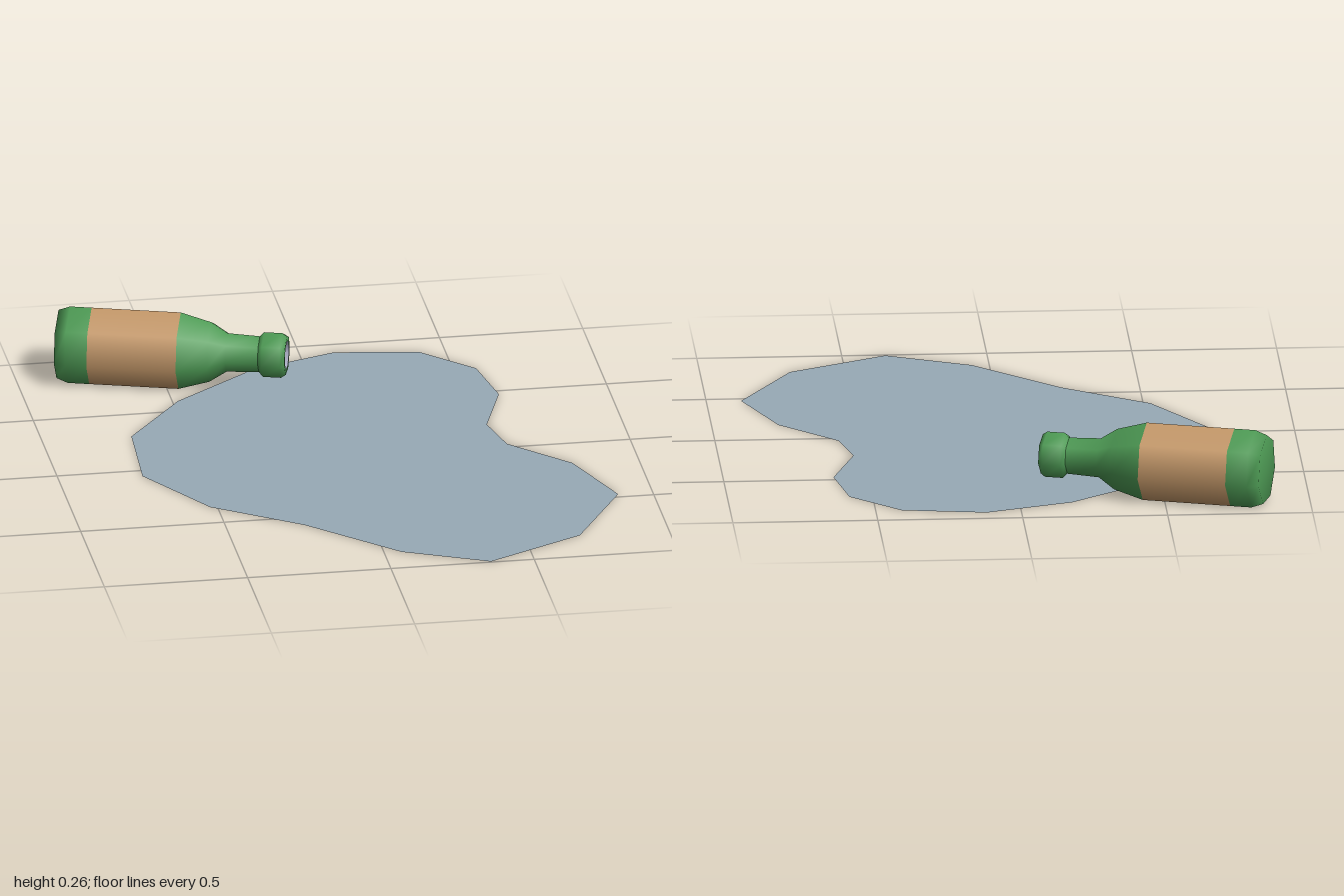
import * as THREE from 'three';

const material = (name, color, side = THREE.FrontSide) => {
  const m = new THREE.MeshStandardMaterial({ color, side });
  m.name = name;
  return m;
};

export function createModel() {
  const green = material('green glass', 0x4f9d56);
  const tan = material('tan paper', 0xc89b6b);
  const grey = material('pale inside', 0xa9abc2);
  const water = material('puddle grey blue', 0x98aab6, THREE.DoubleSide);

  const model = new THREE.Group();
  model.name = 'bottleAndPuddle';

  // Flat puddle, outline as x, z
  const outline = [
    [0.12, -0.93], [0.41, -0.885], [0.58, -0.71], [0.62, -0.47], [0.535, -0.21], [0.575, -0.03],
    [0.77, 0.175], [0.88, 0.475], [0.69, 0.815], [0.35, 0.995], [0.06, 0.86], [-0.23, 0.57],
    [-0.525, 0.36], [-0.71, 0.05], [-0.69, -0.305], [-0.48, -0.59], [-0.18, -0.825],
  ];
  const shape = new THREE.Shape(outline.map(([x, z]) => new THREE.Vector2(x, -z)));
  const puddle = new THREE.Mesh(new THREE.ShapeGeometry(shape).rotateX(-Math.PI / 2), water);
  puddle.name = 'puddle';
  model.add(puddle);

  // Seven-sided bottle turned along its own y axis, profiles as radius, height
  const sides = 7;
  const R = 0.137;
  const bottle = new THREE.Group();
  bottle.name = 'bottle';
  const turned = (name, mat, profile) => {
    const points = profile.map(([r, h]) => new THREE.Vector2(r, h));
    const mesh = new THREE.Mesh(new THREE.LatheGeometry(points, sides), mat);
    mesh.name = name;
    bottle.add(mesh);
  };
  turned('base', green, [[0, 0], [0.122, 0], [R, 0.04], [R, 0.115]]);
  turned('label', tan, [[R, 0.115], [R, 0.425]]);
  turned('shoulderAndNeck', green, [[R, 0.425], [0.107, 0.53], [0.069, 0.588], [0.064, 0.7]]);
  turned('lip', green, [[0.064, 0.7], [0.08, 0.715], [0.08, 0.778], [0.069, 0.794], [0.053, 0.794]]);
  turned('mouth', grey, [[0.053, 0.794], [0.046, 0.765], [0, 0.765]]);

  // Lay it down on one flat side, with the neck over the puddle
  const along = new THREE.Vector3(0.955, 0, 0.298).normalize();
  const up = new THREE.Vector3(0, 1, 0);
  const across = new THREE.Vector3().crossVectors(along, up);
  bottle.quaternion.setFromRotationMatrix(new THREE.Matrix4().makeBasis(across, along, up));
  bottle.position.set(-0.849, R * Math.cos(Math.PI / sides), -0.88);
  model.add(bottle);

  return model;
}
